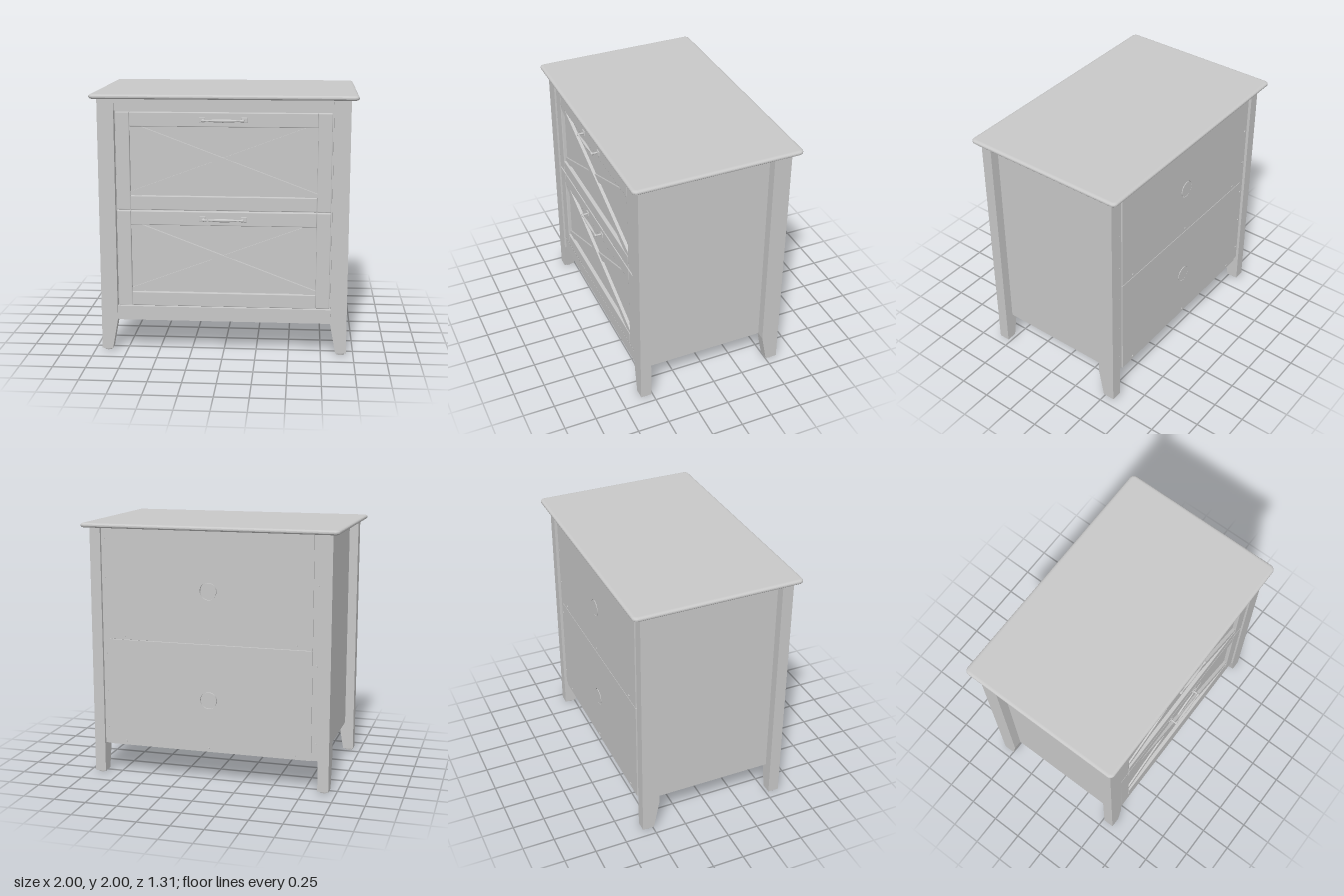
import * as THREE from 'three';
import { RoundedBoxGeometry } from 'three/addons/geometries/RoundedBoxGeometry.js';

const paint = new THREE.MeshStandardMaterial({ color: 0xc8c8c8 });
paint.name = 'grey paint';

function add(parent, name, geometry, x = 0, y = 0, z = 0) {
  const mesh = new THREE.Mesh(geometry, paint);
  mesh.name = name;
  mesh.position.set(x, y, z);
  parent.add(mesh);
  return mesh;
}

// Box given by its extents; a radius softens the edges
function block(parent, name, x0, x1, y0, y1, z0, z1, radius = 0) {
  const size = [x1 - x0, y1 - y0, z1 - z0];
  const geometry = radius ? new RoundedBoxGeometry(...size, 2, radius) : new THREE.BoxGeometry(...size);
  return add(parent, name, geometry, (x0 + x1) / 2, (y0 + y1) / 2, (z0 + z1) / 2);
}

function polygon(points) {
  return new THREE.Shape(points.map(([x, y]) => new THREE.Vector2(x, y)));
}

function roundedRect(w, d, r) {
  const s = new THREE.Shape();
  s.absarc(w - r, d - r, r, 0, Math.PI / 2);
  s.absarc(-w + r, d - r, r, Math.PI / 2, Math.PI);
  s.absarc(-w + r, -d + r, r, Math.PI, Math.PI * 1.5);
  s.absarc(w - r, -d + r, r, Math.PI * 1.5, Math.PI * 2);
  s.closePath();
  return s;
}

// Top board with a bullnose edge
function makeTop(parent) {
  const board = new THREE.ExtrudeGeometry(roundedRect(0.976, 0.633, 0.015), {
    depth: 0.005, bevelThickness: 0.015, bevelSize: 0.024, bevelSegments: 5, curveSegments: 6,
  });
  board.rotateX(-Math.PI / 2);
  add(parent, 'topBoard', board, 0, 1.98, 0);
}

// Flat leg: front legs taper across x, back legs (turned a quarter) across z
function makeLeg(parent, side, back) {
  const [x0, x1] = back ? [0.86, 0.945] : [0.82, 0.945];
  const [z0, z1] = back ? [-0.588, -0.45] : [0.515, 0.602];
  const bottom = 0.016, top = 1.967, middle = (bottom + top) / 2;
  let geometry = new THREE.BoxGeometry(x1 - x0, top - bottom, z1 - z0, 1, 2, 1);
  const p = geometry.attributes.position;
  for (let i = 0; i < p.count; i++) {
    const y = p.getY(i);
    if (Math.abs(y) < 0.01) p.setY(i, 0.248 - middle);
    if (y < -0.9) {
      if (!back && p.getX(i) * side < 0) p.setX(i, p.getX(i) + 0.043 * side);
      if (back && p.getZ(i) > 0) p.setZ(i, p.getZ(i) - 0.045);
    }
  }
  geometry = geometry.toNonIndexed();
  geometry.computeVertexNormals();
  add(parent, back ? 'backLeg' : 'frontLeg', geometry, side * (x0 + x1) / 2, middle, (z0 + z1) / 2);
  // Small glide under the foot
  const glide = new THREE.CylinderGeometry(0.034, 0.03, 0.02, 20);
  add(parent, 'footGlide', glide, side * 0.903, 0.01, back ? -0.54 : 0.56);
}

// Spindle handle on two posts
function makeHandle(parent, y) {
  const handle = new THREE.Group();
  handle.name = 'handle';
  handle.position.set(0, y, 0);
  parent.add(handle);
  const profile = [[0, -0.16], [0.009, -0.157], [0.011, -0.145], [0.007, -0.13], [0.005, -0.115],
    [0.008, -0.09], [0.011, -0.05], [0.013, 0], [0.011, 0.05], [0.008, 0.09], [0.005, 0.115],
    [0.007, 0.13], [0.011, 0.145], [0.009, 0.157], [0, 0.16]];
  const bar = new THREE.LatheGeometry(profile.map(([r, t]) => new THREE.Vector2(r, t)), 14);
  bar.rotateZ(-Math.PI / 2);
  add(handle, 'handleBar', bar, 0, 0, 0.64);
  for (const side of [-1, 1]) {
    const post = new THREE.CylinderGeometry(0.006, 0.009, 0.05, 14).rotateX(Math.PI / 2);
    add(handle, 'handlePost', post, side * 0.15, 0, 0.613);
    const x = side * 0.157;
    block(handle, 'handlePlate', x - 0.023, x + 0.023, -0.02, 0.02, 0.586, 0.598, 0.005);
  }
}

// Drawer front: frame, sunk panel and crossed slats
function makeDrawer(parent, name, y0, y1) {
  const drawer = new THREE.Group();
  drawer.name = name;
  parent.add(drawer);
  const low = y0 + 0.108, high = y1 - 0.108, face = 0.592, r = 0.006;
  for (const s of [-1, 1]) {
    block(drawer, 'drawerStile', s * 0.7575 - 0.0525, s * 0.7575 + 0.0525, y0, y1, 0.55, face, r);
  }
  block(drawer, 'drawerTopRail', -0.705, 0.705, high, y1, 0.55, face, r);
  block(drawer, 'drawerBottomRail', -0.705, 0.705, y0, low, 0.55, face, r);
  block(drawer, 'drawerPanel', -0.75, 0.75, y0 + 0.05, y1 - 0.05, 0.54, 0.563);
  const slat = polygon([[-0.705, high], [-0.705, high - 0.03], [0.62, low], [0.705, low],
    [0.705, low + 0.03], [-0.62, high]]);
  const crossing = polygon([[-0.705, low], [-0.62, low], [0.705, high - 0.03], [0.705, high],
    [0.62, high], [-0.705, low + 0.03]]);
  add(drawer, 'crossSlat', new THREE.ExtrudeGeometry(slat, { depth: 0.03, bevelEnabled: false }), 0, 0, 0.558);
  add(drawer, 'underSlat', new THREE.ExtrudeGeometry(crossing, { depth: 0.017, bevelEnabled: false }), 0, 0, 0.558);
  makeHandle(drawer, y1 - 0.055);
}

function makeScrew(parent, x, y, z) {
  const head = new THREE.CylinderGeometry(0.009, 0.009, 0.008, 10).rotateX(Math.PI / 2);
  add(parent, 'screw', head, x, y, z);
}

// Back panel with a round, shallow cable opening
function makeBackPanel(parent, y0, y1, holeY) {
  const shape = polygon([[-0.805, y0], [0.805, y0], [0.805, y1], [-0.805, y1]]);
  const hole = new THREE.Path();
  hole.absarc(0, holeY, 0.068, 0, Math.PI * 2, true);
  shape.holes.push(hole);
  const panel = new THREE.ExtrudeGeometry(shape, { depth: 0.018, bevelEnabled: false, curveSegments: 20 });
  add(parent, 'backPanel', panel, 0, 0, -0.576);
  const cover = new THREE.CylinderGeometry(0.062, 0.062, 0.016, 32).rotateX(Math.PI / 2);
  add(parent, 'openingCover', cover, 0, holeY, -0.57);
  const backing = new THREE.CylinderGeometry(0.085, 0.085, 0.006, 32).rotateX(Math.PI / 2);
  add(parent, 'openingBacking', backing, 0, holeY, -0.555);
  for (const x of [-0.68, 0, 0.68]) makeScrew(parent, x, y0 + 0.03, -0.577);
}

export function createModel() {
  const cabinet = new THREE.Group();
  cabinet.name = 'cabinet';
  makeTop(cabinet);

  for (const side of [-1, 1]) {
    makeLeg(cabinet, side, false);
    makeLeg(cabinet, side, true);
    // Side panel set well back between the legs
    block(cabinet, 'sidePanel', side * 0.86 - 0.014, side * 0.86 + 0.014, 0.248, 1.967, -0.46, 0.53);
    // Screwed strip between the back panel and the leg
    block(cabinet, 'backStrip', side * 0.825 - 0.037, side * 0.825 + 0.037, 0.248, 1.967, -0.565, -0.45);
    for (let i = 0; i < 6; i++) makeScrew(cabinet, side * 0.835, 0.38 + i * 0.3, -0.567);
  }

  // Front rails and the backing behind the drawer gaps
  block(cabinet, 'topRail', -0.83, 0.83, 1.873, 1.967, 0.52, 0.587);
  block(cabinet, 'bottomRail', -0.83, 0.83, 0.248, 0.357, 0.52, 0.587);
  block(cabinet, 'frontBacking', -0.83, 0.83, 0.357, 1.873, 0.52, 0.545);
  block(cabinet, 'bottomBoard', -0.85, 0.85, 0.256, 0.28, -0.56, 0.53);

  makeDrawer(cabinet, 'upperDrawer', 1.122, 1.865);
  makeDrawer(cabinet, 'lowerDrawer', 0.367, 1.113);

  makeBackPanel(cabinet, 0.248, 1.095, 0.66);
  makeBackPanel(cabinet, 1.1, 1.967, 1.507);
  return cabinet;
}
